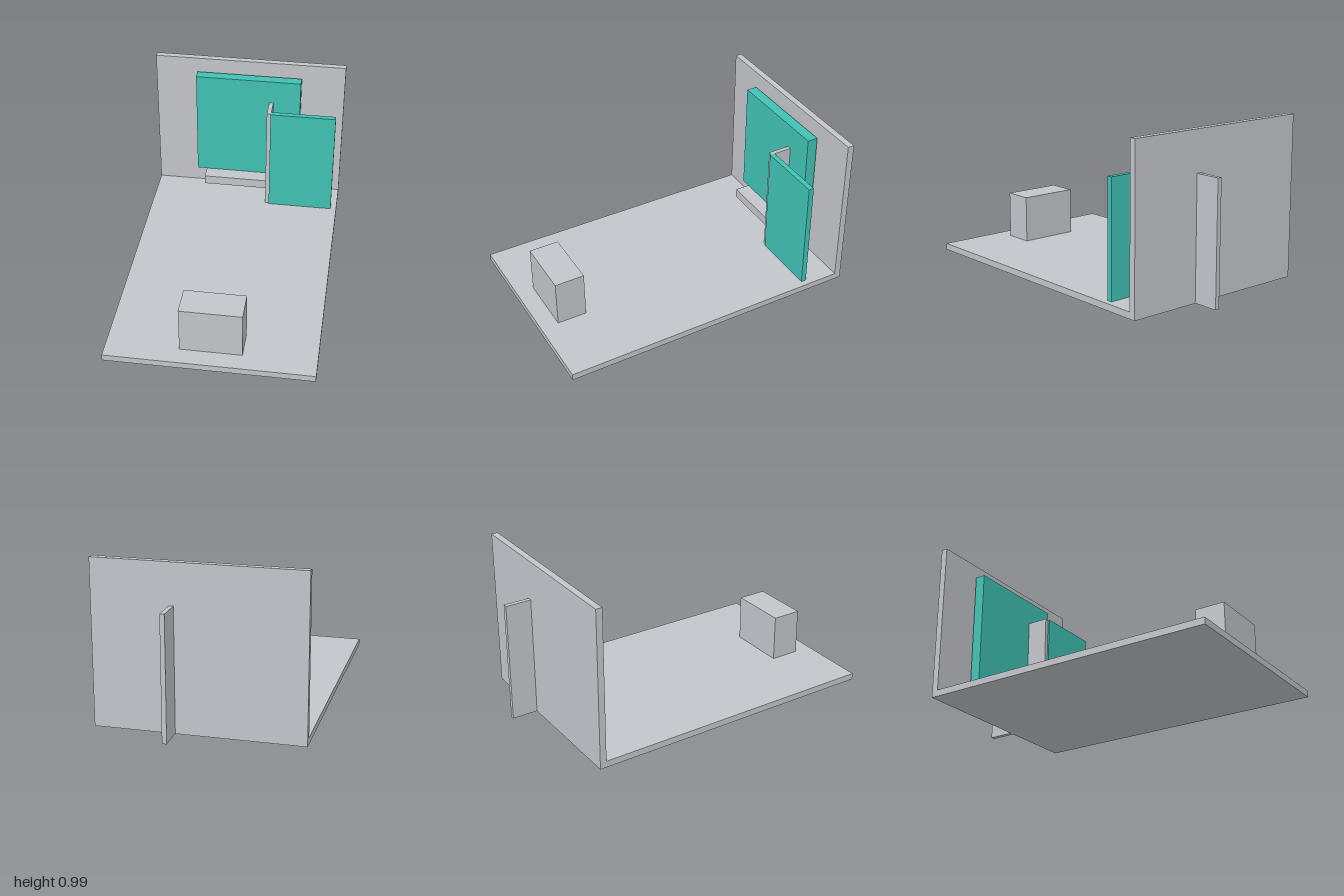
import * as THREE from 'three';

export function createModel() {
  const group = new THREE.Group();
  const grey = new THREE.MeshStandardMaterial({ color: 0xc2c5ca });
  grey.name = 'lightGrey';
  const teal = new THREE.MeshStandardMaterial({ color: 0x40c2b3 });
  teal.name = 'teal';

  // Box given by its extents along each axis
  function slab(name, material, [x0, x1], [y0, y1], [z0, z1]) {
    const mesh = new THREE.Mesh(new THREE.BoxGeometry(x1 - x0, y1 - y0, z1 - z0), material);
    mesh.position.set((x0 + x1) / 2, (y0 + y1) / 2, (z0 + z1) / 2);
    mesh.name = name;
    group.add(mesh);
  }

  // Room shell
  slab('floor', grey, [-0.613, 0.613], [0, 0.04], [-0.802, 1]);
  slab('backWall', grey, [-0.613, 0.613], [0, 0.985], [-0.842, -0.802]);

  // Upright panel resting on a low ledge in front of the wall
  slab('ledge', grey, [-0.278, 0.275], [0.128, 0.187], [-0.765, -0.628]);
  slab('backPanel', teal, [-0.34, 0.336], [0.187, 0.894], [-0.787, -0.722]);

  // Fin running through the wall, with the front panel fixed to its edge
  slab('fin', grey, [0.136, 0.163], [0.001, 0.74], [-1, -0.586]);
  slab('frontPanel', teal, [0.161, 0.576], [0.001, 0.74], [-0.609, -0.576]);

  // Free-standing block near the front edge
  slab('frontBlock', grey, [-0.183, 0.183], [0.04, 0.33], [0.707, 0.89]);

  return group;
}
